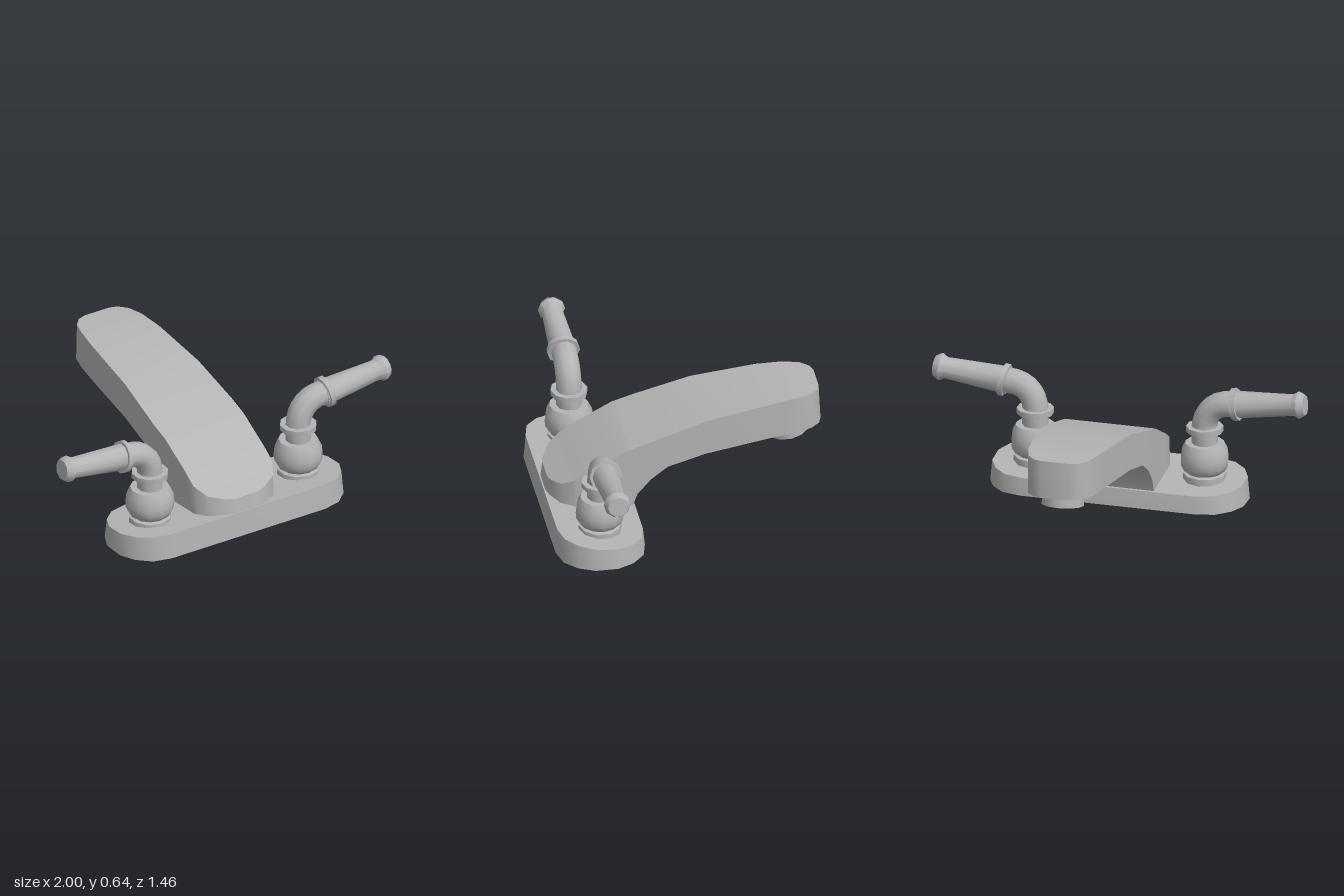
import * as THREE from 'three';
import { toCreasedNormals } from 'three/addons/utils/BufferGeometryUtils.js';

const metal = new THREE.MeshStandardMaterial({ color: 0xb4b4b4 });
metal.name = 'satin metal';

function part(name, geometry, crease = 0.75) {
  const mesh = new THREE.Mesh(toCreasedNormals(geometry, crease), metal);
  mesh.name = name;
  return mesh;
}

// Turned part from [radius, height] pairs
function turned(name, profile, sides = 10) {
  const pts = profile.map(([r, y]) => new THREE.Vector2(r, y));
  return part(name, new THREE.LatheGeometry(pts, sides));
}

// Piecewise linear lookup in rows sorted by their first number
function lookup(rows, z) {
  for (let i = 1; i < rows.length; i++) {
    const [z0, v0] = rows[i - 1], [z1, v1] = rows[i];
    if (z <= z1) return THREE.MathUtils.mapLinear(z, z0, z1, v0, v1);
  }
  return rows[rows.length - 1][1];
}

// Rounded deck plate with a top sloping down to the back
function makeBase() {
  const quarter = [[0.47, 0.234], [0.57, 0.21], [0.64, 0.145], [0.68, 0.06]];
  const back = [...quarter].reverse();
  const outline = [
    ...back, ...quarter.map(([x, z]) => [-x, z]),
    ...back.map(([x, z]) => [-x, -z]), ...quarter.map(([x, z]) => [x, -z]),
  ].map(([x, z]) => new THREE.Vector2(x, z));
  const geo = new THREE.ExtrudeGeometry(new THREE.Shape(outline), { depth: 1, bevelEnabled: false });
  geo.rotateX(-Math.PI / 2);
  const p = geo.attributes.position;
  for (let i = 0; i < p.count; i++) {
    const top = p.getY(i) > 0.5;
    const s = top ? 0.985 : 1;
    const z = 0.496 + p.getZ(i) * (top ? 0.96 : 1);
    p.setXYZ(i, p.getX(i) * s, top ? 0.137 - (0.72 - z) * 0.093 : 0, z);
  }
  return part('base', geo, 0.7);
}

// Arched spout: four-cornered cross-sections lofted from tip to foot
function makeSpout() {
  const width = [[-0.72, 0.075], [-0.705, 0.12], [-0.66, 0.16], [-0.58, 0.183], [-0.44, 0.203],
    [-0.1, 0.225], [0.2, 0.242], [0.58, 0.242], [0.65, 0.2], [0.69, 0.12], [0.702, 0.07]];
  const top = [[-0.72, 0.618], [-0.57, 0.618], [-0.43, 0.605], [-0.1, 0.557], [0.1, 0.498],
    [0.31, 0.435], [0.4, 0.387], [0.5, 0.335], [0.6, 0.272], [0.702, 0.215]];
  const under = [[-0.72, 0.418], [-0.44, 0.403], [-0.1, 0.36], [0.1, 0.31], [0.19, 0.245],
    [0.26, 0.165], [0.29, 0.08], [0.702, 0.08]];
  const stations = [...new Set([...width, ...top, ...under].map(r => r[0]))].sort((a, b) => a - b);
  const pos = [], index = [];
  const flare = [[-0.72, -0.01], [-0.5, 0], [0.5, 0], [0.702, 0.018]];
  stations.forEach((z, i) => {
    const w = lookup(width, z), t = lookup(top, z), u = lookup(under, z), f = lookup(flare, z);
    pos.push(-w, u, z + f, w, u, z + f, w, t, z, -w, t, z);
    if (!i) return;
    for (let k = 0; k < 4; k++) {
      const a = 4 * (i - 1) + k, b = 4 * (i - 1) + (k + 1) % 4;
      index.push(a, b, b + 4, a, b + 4, a + 4);
    }
  });
  const e = 4 * (stations.length - 1);
  index.push(0, 2, 1, 0, 3, 2, e, e + 1, e + 2, e, e + 2, e + 3);
  const geo = new THREE.BufferGeometry();
  geo.setAttribute('position', new THREE.Float32BufferAttribute(pos, 3));
  geo.setIndex(index);
  return part('spout', geo, 0.7);
}

// Handle reaching toward local +x
function makeHandle(name) {
  const handle = new THREE.Group();
  handle.name = name;

  handle.add(turned('handleFoot', [[0.112, 0.08], [0.112, 0.143], [0.095, 0.15], [0, 0.15]]));
  handle.add(turned('handleBody', [[0, 0.148], [0.095, 0.15], [0.108, 0.16], [0.125, 0.19],
    [0.127, 0.225], [0.122, 0.27], [0.102, 0.311], [0, 0.311]], 12));
  handle.add(turned('handleNeck', [[0.068, 0.3], [0.068, 0.41]]));
  handle.add(turned('neckCollar', [[0, 0.374], [0.097, 0.374], [0.097, 0.403], [0, 0.403]]));

  // Curved elbow
  const path = new THREE.CatmullRomCurve3([[0, 0.39], [0.005, 0.44], [0.038, 0.498], [0.09, 0.53], [0.17, 0.54]]
    .map(([x, y]) => new THREE.Vector3(x, y, 0)));
  handle.add(part('elbow', new THREE.TubeGeometry(path, 8, 0.067, 10)));

  // Lever with its ring and flared tip
  const lever = new THREE.Group();
  lever.name = 'lever';
  lever.position.set(0.145, 0.537, 0);
  lever.rotation.z = -Math.PI / 2 + 0.1;
  lever.add(turned('leverGrip', [[0, 0], [0.073, 0], [0.056, 0.335], [0.071, 0.362],
    [0.069, 0.372], [0.054, 0.397], [0, 0.397]]));
  const ring = turned('leverRing', [[0, -0.014], [0.086, -0.014], [0.086, 0.014], [0, 0.014]]);
  ring.position.y = 0.022;
  ring.rotation.z = 0.1;
  lever.add(ring);
  handle.add(lever);
  return handle;
}

export function createModel() {
  const model = new THREE.Group();
  model.name = 'tap';
  model.add(makeBase(), makeSpout());

  // Outlet nozzle, hollow below and tilted back
  const nozzle = turned('nozzle', [[0, 0.025], [0.09, 0.025], [0.09, 0], [0.113, 0], [0.113, 0.12]], 12);
  nozzle.position.set(0, 0.33, -0.572);
  nozzle.rotation.x = 0.175;
  model.add(nozzle);

  for (const side of [1, -1]) {
    const handle = makeHandle(side > 0 ? 'leftHandle' : 'rightHandle');
    handle.position.set(side * 0.455, 0, 0.495);
    handle.rotation.y = side > 0 ? 0 : Math.PI;
    model.add(handle);
  }
  return model;
}
